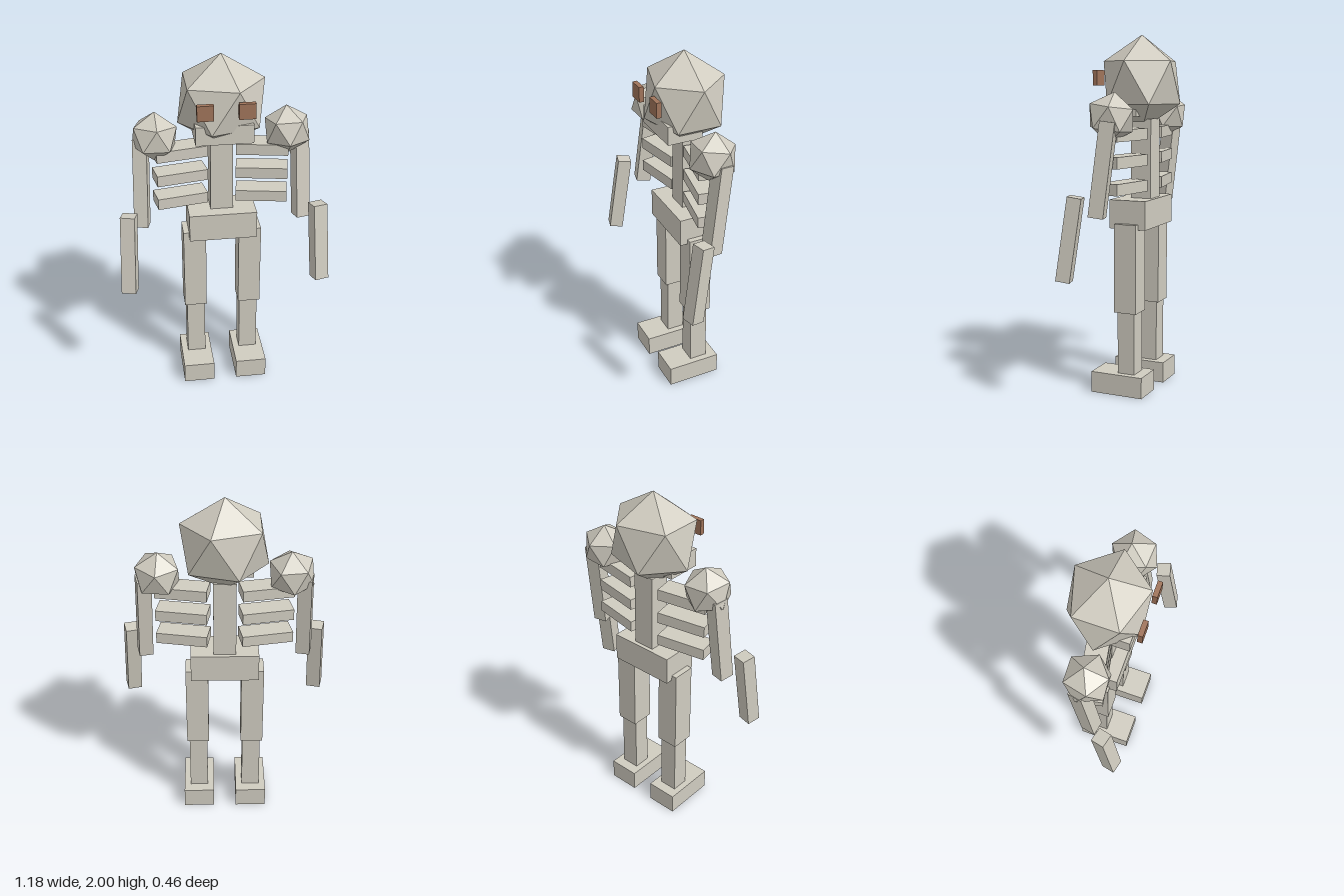
import * as THREE from 'three';
import { ConvexGeometry } from 'three/addons/geometries/ConvexGeometry.js';

const bone = new THREE.MeshStandardMaterial({ color: 0xd0ccc0, flatShading: true });
bone.name = 'bone';
const eyeBrown = new THREE.MeshStandardMaterial({ color: 0xa0745a, flatShading: true });
eyeBrown.name = 'eyeBrown';

// Twelve-point ball standing on a pole: two staggered rings of five
function ballGeometry(rx, ry, rz) {
  const h = 1 / Math.sqrt(5), r = 2 * h;
  const pts = [new THREE.Vector3(0, ry, 0), new THREE.Vector3(0, -ry, 0)];
  for (let i = 0; i < 10; i++) {
    const a = (i * Math.PI) / 5;
    pts.push(new THREE.Vector3(rx * r * Math.cos(a), (i % 2 ? -h : h) * ry, rz * r * Math.sin(a)));
  }
  return new ConvexGeometry(pts);
}

export function createModel() {
  const model = new THREE.Group();
  model.name = 'skeleton';

  function add(name, geometry, pos, material = bone, yaw = 0, tilt = 0) {
    const mesh = new THREE.Mesh(geometry, material);
    mesh.name = name;
    mesh.position.set(...pos);
    mesh.rotation.set(tilt, yaw, 0, 'YXZ');
    model.add(mesh);
    return mesh;
  }
  const box = (name, size, ...rest) => add(name, new THREE.BoxGeometry(...size), ...rest);

  // Head and trunk
  add('skull', ballGeometry(0.263, 0.261, 0.236), [0, 1.738, -0.027]);
  box('jaw', [0.31, 0.105, 0.2], [0, 1.607, 0.04]);
  box('spine', [0.125, 0.46, 0.12], [0, 1.31, -0.048]);
  box('pelvis', [0.38, 0.16, 0.216], [0, 1.018, -0.023]);

  for (const s of [1, -1]) {
    const side = s > 0 ? 'left' : 'right';
    box(side + 'Eye', [0.088, 0.085, 0.027], [s * 0.109, 1.763, 0.188], eyeBrown);

    // Ribs, outer ends swung forward
    for (let i = 0; i < 3; i++)
      box(side + 'Rib' + (i + 1), [0.285, 0.063, 0.12],
        [s * 0.2275, 1.46 - i * 0.1425, -0.02], bone, s * -0.18);

    // Arms, turned outward and swung forward
    add(side + 'Shoulder', ballGeometry(0.136, 0.136, 0.136),
      [s * 0.361, 1.555, -0.012], bone, s * 0.26, -0.13);
    box(side + 'UpperArm', [0.078, 0.507, 0.082], [s * 0.442, 1.288, -0.001], bone, s * 0.22, -0.13);
    box(side + 'Forearm', [0.081, 0.453, 0.077], [s * 0.533, 0.925, 0.148], bone, s * 0.25, -0.15);

    // Legs
    box(side + 'Thigh', [0.128, 0.498, 0.132], [s * 0.158, 0.719, -0.023], bone);
    box(side + 'Shin', [0.105, 0.38, 0.101], [s * 0.156, 0.3, -0.023], bone);
    box(side + 'Foot', [0.179, 0.119, 0.309], [s * 0.156, 0.0595, 0.021], bone);
  }
  return model;
}
